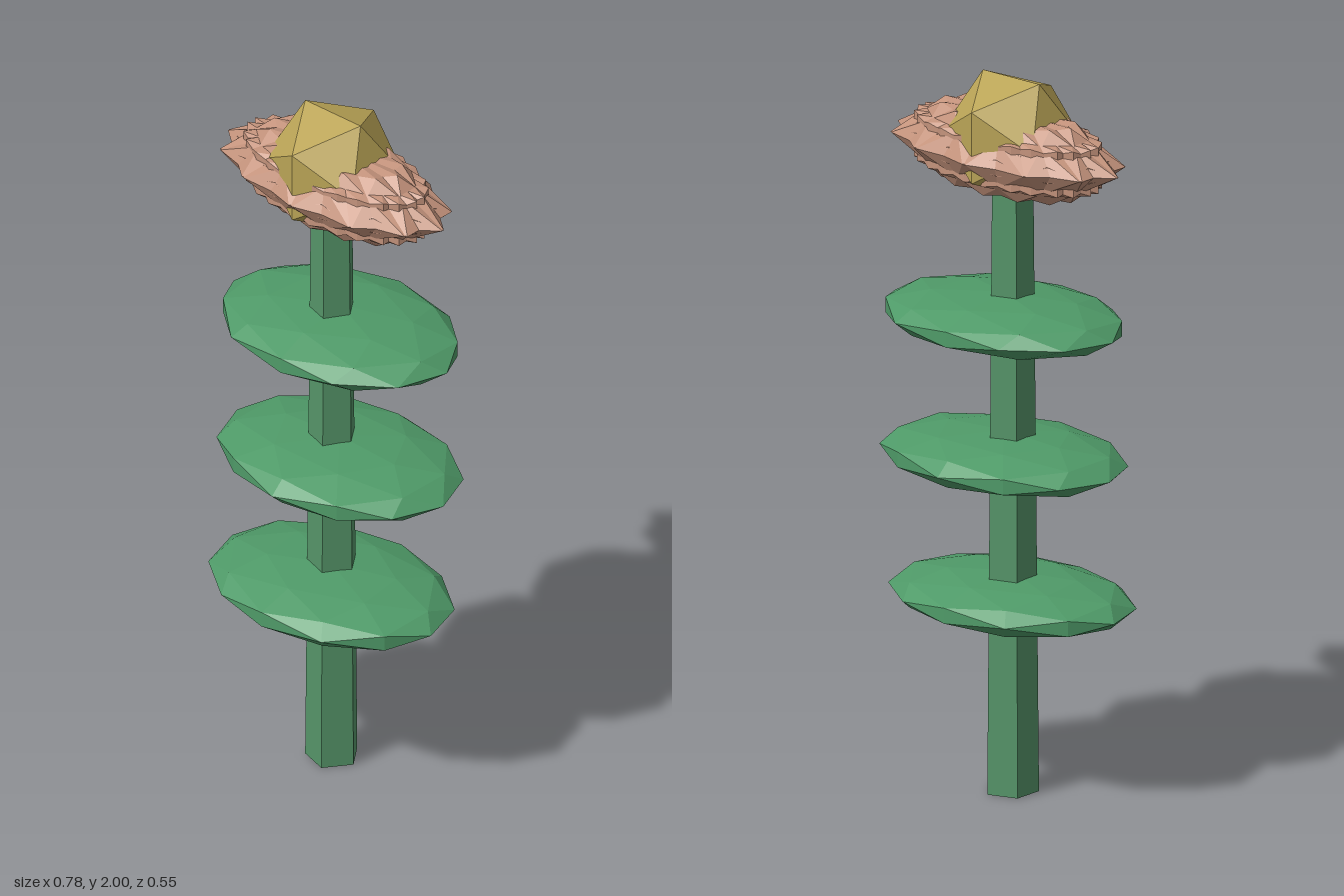
import * as THREE from 'three';

const STEM_X = -0.014;

function mat(color) {
  return new THREE.MeshStandardMaterial({ color, flatShading: true });
}

// A faceted ball, turned about y, nudged sideways and then squashed
function squashedBall(detail, turn, offset, scale) {
  const g = new THREE.IcosahedronGeometry(1, detail);
  g.rotateY(turn);
  g.scale(...scale);
  g.translate(...offset);
  return g;
}

export function createModel() {
  const model = new THREE.Group();
  const green = mat(0x559468);
  const leafGreen = mat(0x4f9a68);
  const pink = mat(0xc4937c);
  const gold = mat(0xbba557);

  const add = (name, geometry, material, parent = model) => {
    const mesh = new THREE.Mesh(geometry, material);
    mesh.name = name;
    parent.add(mesh);
    return mesh;
  };

  // Five-sided tapering stem with a corner towards +x
  const stem = add('stem', new THREE.CylinderGeometry(0.059, 0.0745, 1.78, 5, 1, false, Math.PI / 2), green);
  stem.position.set(STEM_X, 0.89, 0);

  // Three flattened leaf discs, each turned and shifted a little
  const leaves = [
    { y: 0.54, turn: 0.5, x: -0.003, z: 0.0175 },
    { y: 0.935, turn: 0, x: 0.012, z: 0 },
    { y: 1.33, turn: -0.5, x: -0.003, z: -0.0175 },
  ];
  for (const { y, turn, x, z } of leaves) {
    add('leaf', squashedBall(1, turn, [x, y, z], [0.373, 0.07, 0.27]), leafGreen);
  }

  // Spiky blossom: a ring of overlapping pointed petals
  const petals = new THREE.Group();
  petals.name = 'petals';
  model.add(petals);
  const count = 12;
  for (let i = 0; i < count; i++) {
    const a = (i / count) * Math.PI * 2;
    const offset = [-0.003 + 0.033 * Math.cos(a), 1.795, -0.015 * Math.sin(a)];
    add('petal', squashedBall(0, a, offset, [0.36, 0.123, 0.168]), pink, petals);
  }

  // Faceted flower centre
  const heart = add('flowerCentre', new THREE.IcosahedronGeometry(0.19, 0), gold);
  heart.position.set(STEM_X, 1.838, 0);

  return model;
}
